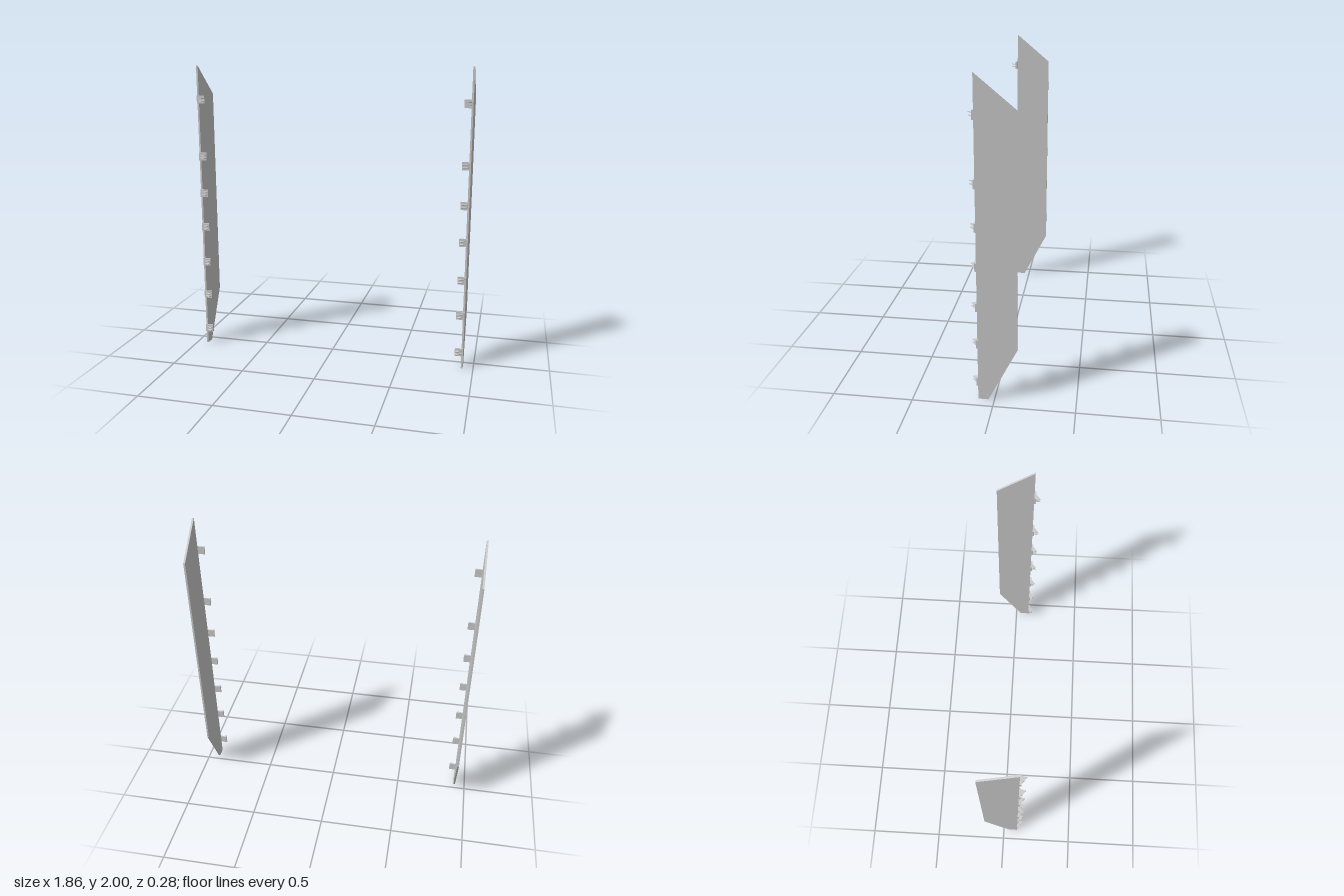
import * as THREE from 'three';

const material = new THREE.MeshStandardMaterial({ color: 0xcccccc, flatShading: true });
const OUTER = 0.931;
const bracketHeights = [0.117, 0.376, 0.62, 0.878, 1.122, 1.381, 1.773];

// Extrudes an outline of [x, y] points along +z
function extrude(points, depth) {
  const shape = new THREE.Shape(points.map(([x, y]) => new THREE.Vector2(x, y)));
  return new THREE.ExtrudeGeometry(shape, { depth, bevelEnabled: false });
}

function addMesh(parent, name, geometry) {
  const mesh = new THREE.Mesh(geometry, material);
  mesh.name = name;
  parent.add(mesh);
  return mesh;
}

// side: +1 is the model's left, -1 its right
function createSide(side) {
  const group = new THREE.Group();
  group.name = side > 0 ? 'leftSide' : 'rightSide';

  // Thin upright panel, outline drawn as [-z, y] and turned to face sideways
  const panel = extrude([[-0.1, 0], [-0.037, 0], [0.14, 0.35], [0.14, 1.8], [-0.1, 2]], 0.012);
  panel.rotateY(Math.PI / 2);
  panel.translate(side > 0 ? OUTER - 0.012 : -OUTER, 0, 0);
  addMesh(group, 'panel', panel);

  // Brackets along the front edge: a plate with two triangular fins
  for (const y of bracketHeights) {
    const bracket = new THREE.Group();
    bracket.name = 'bracket';
    bracket.position.set(0, y, 0);
    const plate = addMesh(bracket, 'plate', new THREE.BoxGeometry(0.056, 0.053, 0.01));
    plate.position.set(side * (OUTER - 0.028), 0, 0.105);

    const outline = [[0.923, -0.109], [0.877, -0.109], [0.884, -0.14]].map(([x, z]) => [side * x, z]);
    for (const offset of [-0.0095, 0.0095]) {
      const fin = extrude(outline, 0.004);
      fin.rotateX(-Math.PI / 2);
      fin.translate(0, offset - 0.002, 0);
      addMesh(bracket, 'fin', fin);
    }
    group.add(bracket);
  }
  return group;
}

export function createModel() {
  const model = new THREE.Group();
  model.name = 'sidePanels';
  model.add(createSide(1), createSide(-1));
  return model;
}
